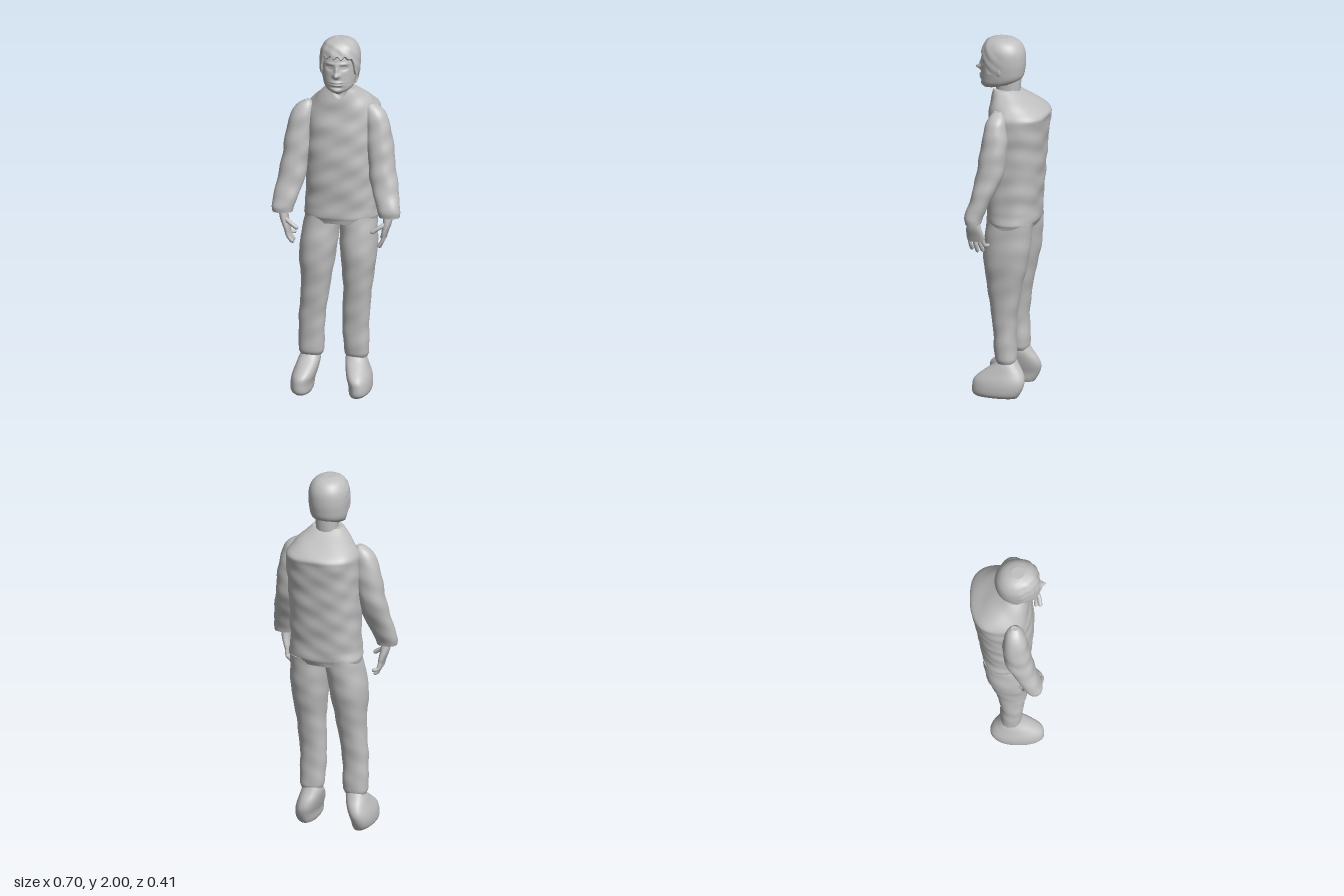
import * as THREE from 'three';

const grey = new THREE.MeshStandardMaterial({ color: 0xc0c0c0 });
grey.name = 'plain grey';

const smooth = (a, b, v) => THREE.MathUtils.smoothstep(v, a, b);
const bell = (d, w) => Math.exp(-(d * d) / (w * w));

// Smoothly interpolated slice [x0, x1, z0, z1] at height y
function sliceAt(S, y) {
  let i = 0;
  while (i < S.length - 2 && y > S[i + 1][0]) i++;
  const a = S[i], b = S[i + 1], p = S[i - 1] || a, n = S[i + 2] || b;
  const h = b[0] - a[0], u = THREE.MathUtils.clamp((y - a[0]) / h, 0, 1);
  return [1, 2, 3, 4].map((k) => {
    const m0 = ((b[k] - p[k]) / (b[0] - p[0])) * h, m1 = ((n[k] - a[k]) / (n[0] - a[0])) * h;
    const u2 = u * u, u3 = u2 * u;
    return (2 * u3 - 3 * u2 + 1) * a[k] + (u3 - 2 * u2 + u) * m0 + (3 * u2 - 2 * u3) * b[k] + (u3 - u2) * m1;
  });
}

// Closed body through horizontal slices [y, x0, x1, z0, z1]
function loft(S, { segs = 40, rings = 40, e = 0.9, bottom, top, rule } = {}) {
  const pos = [], idx = [];
  const lo = S[0][0], hi = S[S.length - 1][0];
  for (let i = 0; i <= rings; i++) {
    const t = (1 - Math.cos((Math.PI * i) / rings)) / 2;
    for (let j = 0; j < segs; j++) {
      const a = (2 * Math.PI * j) / segs, c = Math.cos(a), s = Math.sin(a);
      const y0 = bottom ? bottom(c, s) : lo, y1 = top ? top(c, s) : hi;
      const y = y0 + (y1 - y0) * t;
      const [xa, xb, za, zb] = sliceAt(S, y);
      const v = new THREE.Vector3(
        (xa + xb) / 2 + ((xb - xa) / 2) * Math.sign(c) * Math.abs(c) ** e, y,
        (za + zb) / 2 + ((zb - za) / 2) * Math.sign(s) * Math.abs(s) ** e);
      if (rule) rule(v, c, s);
      pos.push(v.x, v.y, v.z);
      if (i < rings) {
        const k = (j + 1) % segs, p = i * segs + j, q = i * segs + k;
        idx.push(p, p + segs, q, q, p + segs, q + segs);
      }
    }
  }
  // End caps with their own vertices, so the rims stay sharp
  for (const [row, up] of [[0, false], [rings, true]]) {
    const ring = pos.slice(row * segs * 3, (row + 1) * segs * 3), base = pos.length / 3;
    const mid = [0, 0, 0];
    ring.forEach((v, k) => { mid[k % 3] += v / segs; });
    pos.push(...ring, ...mid);
    for (let j = 0; j < segs; j++) {
      const p = base + j, q = base + ((j + 1) % segs), m = base + segs;
      idx.push(m, up ? q : p, up ? p : q);
    }
  }
  const g = new THREE.BufferGeometry();
  g.setAttribute('position', new THREE.Float32BufferAttribute(pos, 3));
  g.setIndex(idx);
  g.computeVertexNormals();
  return g;
}

// Soft cloth folds pushed outward
const folds = (amt) => (v, c, s) => {
  const f = amt * (Math.sin(v.y * 38 + v.x * 14 + 2 * Math.sin(v.z * 20)) * 0.6 + Math.sin(v.y * 61 - v.x * 33 + v.z * 11) * 0.4);
  v.x += f * c;
  v.z += f * s;
};
const mirror = (S, shift = 0) => S.map(([y, a, b, c, d]) => [y, -b + shift, -a + shift, c, d]);

const TORSO = [
  [0.965, -0.19, 0.195, -0.14, 0.115], [0.985, -0.195, 0.2, -0.147, 0.12], [1.0, -0.2, 0.205, -0.152, 0.125],
  [1.05, -0.19, 0.197, -0.153, 0.127], [1.3, -0.186, 0.2, -0.175, 0.138], [1.5, -0.186, 0.208, -0.193, 0.127],
  [1.57, -0.186, 0.21, -0.203, 0.116], [1.6, -0.178, 0.203, -0.203, 0.112], [1.65, -0.14, 0.165, -0.135, 0.108],
  [1.72, -0.07, 0.095, -0.025, 0.1]];
const NECK = [[1.6, -0.055, 0.075, -0.03, 0.09], [1.72, -0.05, 0.07, -0.045, 0.088], [1.82, -0.055, 0.075, -0.05, 0.1]];
const HEAD = [
  [1.715, -0.01, 0.03, 0.11, 0.152], [1.73, -0.045, 0.065, 0.05, 0.165], [1.75, -0.068, 0.088, 0.0, 0.17],
  [1.78, -0.08, 0.098, -0.045, 0.173], [1.83, -0.087, 0.105, -0.06, 0.17], [1.88, -0.09, 0.108, -0.064, 0.167],
  [1.93, -0.085, 0.104, -0.058, 0.157], [1.965, -0.067, 0.087, -0.037, 0.14], [1.985, -0.042, 0.062, -0.008, 0.115],
  [1.994, -0.012, 0.032, 0.025, 0.08]];
const SLEEVE = [
  [1.03, -0.345, -0.235, 0.09, 0.175], [1.06, -0.35, -0.228, 0.082, 0.178], [1.1, -0.345, -0.215, 0.065, 0.168],
  [1.2, -0.328, -0.18, 0.02, 0.143], [1.3, -0.31, -0.165, -0.018, 0.127], [1.4, -0.297, -0.15, -0.033, 0.113],
  [1.5, -0.28, -0.145, -0.033, 0.1], [1.57, -0.257, -0.14, -0.025, 0.085], [1.61, -0.225, -0.142, -0.01, 0.07],
  [1.632, -0.19, -0.155, 0.008, 0.05]];
const PALM = [
  [0.92, -0.277, -0.247, 0.08, 0.17], [0.95, -0.287, -0.25, 0.078, 0.175], [1.0, -0.305, -0.258, 0.09, 0.172], [1.06, -0.312, -0.258, 0.105, 0.16]];
const RIGHT_LEG = [
  [0.195, -0.215, -0.1, -0.04, 0.055], [0.22, -0.223, -0.088, -0.048, 0.067], [0.4, -0.222, -0.08, -0.045, 0.08],
  [0.6, -0.21, -0.052, -0.075, 0.105], [0.8, -0.22, -0.02, -0.12, 0.128], [1.0, -0.188, 0.004, -0.142, 0.11]];
const LEFT_LEG = [
  [0.195, 0.035, 0.148, -0.04, 0.055], [0.22, 0.025, 0.157, -0.048, 0.067], [0.4, 0.015, 0.16, -0.045, 0.08],
  [0.6, 0.02, 0.176, -0.075, 0.105], [0.8, 0.003, 0.2, -0.12, 0.128], [1.0, -0.002, 0.197, -0.142, 0.11]];
const SHOE = [
  [0.005, -0.235, -0.145, -0.06, 0.172], [0.02, -0.252, -0.138, -0.072, 0.186], [0.06, -0.256, -0.134, -0.092, 0.188],
  [0.1, -0.25, -0.122, -0.1, 0.18], [0.14, -0.236, -0.112, -0.088, 0.135], [0.18, -0.222, -0.106, -0.062, 0.08], [0.21, -0.208, -0.11, -0.045, 0.05]];

// Face relief: [x, y, width, height, depth]
const FACE = [
  [0, 1.845, 0.011, 0.03, 0.014], [0, 1.822, 0.017, 0.012, 0.026], [-0.04, 1.862, 0.02, 0.013, -0.012], [0.04, 1.862, 0.02, 0.013, -0.012],
  [-0.038, 1.862, 0.012, 0.006, 0.006], [0.038, 1.862, 0.012, 0.006, 0.006], [-0.036, 1.885, 0.026, 0.008, 0.006], [0.036, 1.885, 0.026, 0.008, 0.006],
  [0, 1.783, 0.026, 0.006, 0.011], [0, 1.769, 0.022, 0.006, 0.01], [0, 1.776, 0.028, 0.003, -0.005], [0, 1.754, 0.03, 0.007, -0.006], [0, 1.735, 0.022, 0.012, 0.007]];
function faceRelief(v, c, s) {
  const front = smooth(0, 0.5, s);
  for (const [x, y, w, h, d] of FACE) v.z += front * d * bell(v.x - 0.01 - x, w) * bell(v.y - y, h);
}

// Hair sits just outside the skull, with a wavy lower edge
const hairline = (c, s) => 1.75 + 0.07 * smooth(-0.3, 0.1, s) + 0.1 * smooth(0.38, 0.8, s)
  + 0.008 * smooth(0, 0.5, s) * Math.sin(c * 17 + 1);
function hairLift(v, c, s) {
  const wave = 0.0025 * Math.sin(v.x * 90 + v.y * 60) * Math.sin(v.z * 70 - v.y * 50) * smooth(-0.4, 0.3, s);
  v.x += c * (0.011 + wave);
  v.z += s * (0.009 + wave);
  v.y += 0.006 * smooth(1.9, 1.99, v.y);
}

export function createModel() {
  const model = new THREE.Group();
  model.name = 'standingMan';
  const add = (name, geometry, parent = model) => {
    const m = new THREE.Mesh(geometry, grey);
    m.name = name;
    parent.add(m);
    return m;
  };

  // Jacket with a V notch at the front of the collar
  add('jacket', loft(TORSO, {
    segs: 96, rings: 90, e: 0.82, rule: folds(0.0035),
    top: (c, s) => 1.72 - (s > 0 ? 0.05 * Math.max(0, 1 - Math.abs(c) / 0.45) : 0),
  }));
  add('neck', loft(NECK));

  // Head
  add('head', loft(HEAD, { segs: 140, rings: 100, e: 0.95, rule: faceRelief }));
  add('hair', loft(HEAD, { segs: 100, rings: 40, e: 0.95, bottom: hairline, rule: hairLift }));
  for (const side of [-1, 1]) {
    const ear = add('ear', new THREE.SphereGeometry(1, 16, 12));
    ear.scale.set(0.01, 0.03, 0.018);
    ear.position.set(0.01 + side * 0.098, 1.835, 0.045);
  }

  // Arms and hands
  const fingers = [0.16, 0.135, 0.11, 0.087].map((z, i) => [
    [-0.266, 0.935, z], [-0.257, 0.9, z - 0.003 - i * 0.002], [-0.238, [0.872, 0.86, 0.866, 0.895][i], z - 0.006 - i * 0.005]]);
  const thumb = [[-0.272, 0.995, 0.155], [-0.243, 0.978, 0.17], [-0.208, 0.955, 0.176]];
  for (const side of [-1, 1]) {
    const label = side < 0 ? 'right' : 'left';
    const flip = (S) => (side < 0 ? S : mirror(S));
    add(label + 'Sleeve', loft(flip(SLEEVE), { segs: 48, rings: 70, rule: folds(0.003) }));
    const hand = new THREE.Group();
    hand.name = label + 'Hand';
    model.add(hand);
    add('palm', loft(flip(PALM), { segs: 28, rings: 16 }), hand);
    for (const path of [...fingers, thumb]) {
      const p = path.map(([x, y, z]) => new THREE.Vector3(-side * x, y, z));
      const r = path === thumb ? 0.012 : 0.0105;
      add('finger', new THREE.TubeGeometry(new THREE.CatmullRomCurve3(p), 8, r, 10), hand);
      add('fingertip', new THREE.SphereGeometry(r, 10, 8), hand).position.copy(p[2]);
    }
  }

  // Trousers and shoes
  const trousers = { segs: 48, rings: 60, rule: folds(0.002) };
  add('rightTrouserLeg', loft(RIGHT_LEG, trousers));
  add('leftTrouserLeg', loft(LEFT_LEG, trousers));
  add('rightShoe', loft(SHOE, { segs: 48, rings: 32 }));
  add('leftShoe', loft(mirror(SHOE, -0.075), { segs: 48, rings: 32 }));
  model.position.y = -0.005;
  model.updateMatrixWorld(true);
  return model;
}
